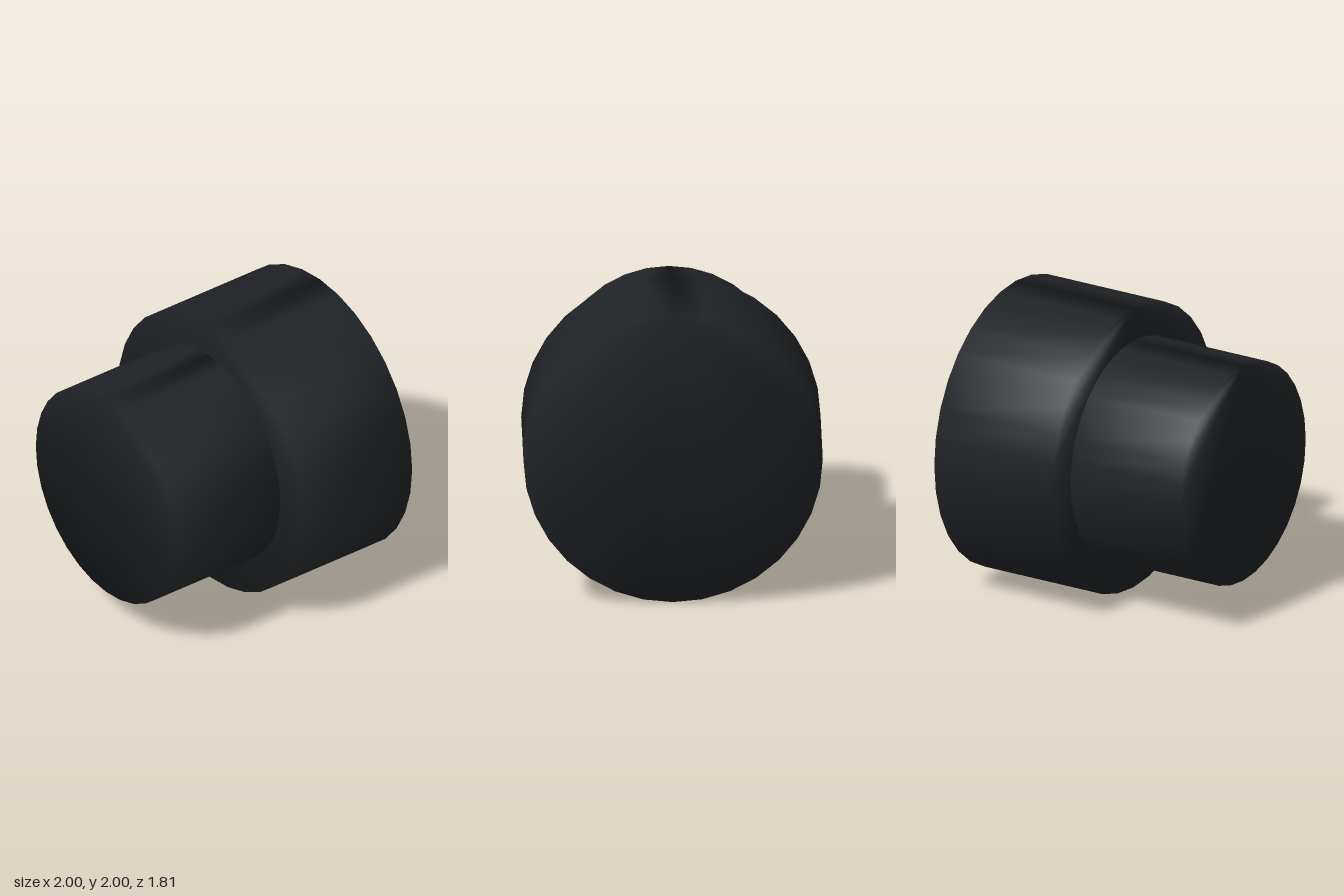
import * as THREE from 'three';

const SEGMENTS = 32;
const CENTRE_Y = 1;

// Closed drum along z: two rings sharing vertices with fan caps, so shading runs softly over the rims
function drumGeometry(radius, zFront, zBack) {
  const positions = [];
  const indices = [];
  for (const z of [zFront, zBack]) {
    for (let i = 0; i < SEGMENTS; i++) {
      const a = (i / SEGMENTS) * Math.PI * 2;
      positions.push(-Math.sin(a) * radius, Math.cos(a) * radius, z);
    }
  }
  for (let i = 0; i < SEGMENTS; i++) {
    const j = (i + 1) % SEGMENTS;
    const n = SEGMENTS;
    indices.push(i, n + i, n + j, i, n + j, j); // side wall
    if (i > 0 && j > 0) {
      indices.push(0, i, j, n, n + j, n + i); // front and back caps
    }
  }
  const geometry = new THREE.BufferGeometry();
  geometry.setAttribute('position', new THREE.Float32BufferAttribute(positions, 3));
  geometry.setIndex(indices);
  geometry.computeVertexNormals();
  return geometry;
}

export function createModel() {
  const group = new THREE.Group();
  group.name = 'steppedKnob';
  const material = new THREE.MeshStandardMaterial({ color: 0x202326 });

  function addDrum(name, radius, zFront, zBack) {
    const mesh = new THREE.Mesh(drumGeometry(radius, zFront, zBack), material);
    mesh.name = name;
    mesh.position.y = CENTRE_Y;
    group.add(mesh);
  }

  // Wide rear body and narrower front cylinder
  addDrum('rearBody', 1, 0.03, -0.905);
  addDrum('frontCylinder', 0.768, 0.905, 0.03);

  return group;
}
